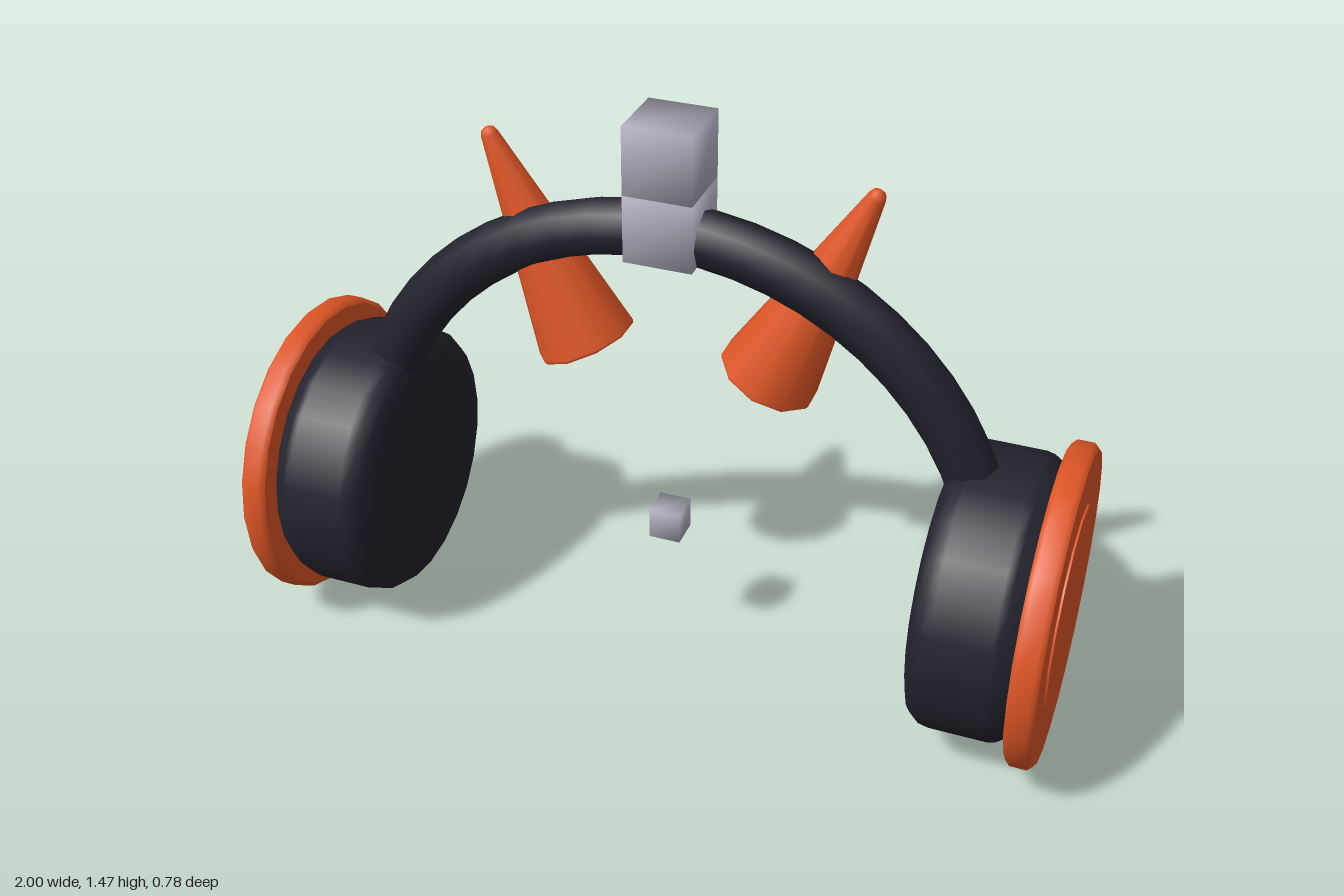
import * as THREE from 'three';
import { mergeVertices } from 'three/addons/utils/BufferGeometryUtils.js';

const orange = new THREE.MeshStandardMaterial({ color: 0xdd5525 });
orange.name = 'orange';
const charcoal = new THREE.MeshStandardMaterial({ color: 0x22222d });
charcoal.name = 'charcoal';
const grey = new THREE.MeshStandardMaterial({ color: 0xb0b0c0 });
grey.name = 'grey';

const CUP_Y = 0.395;

function mesh(name, geometry, material, parent) {
  const m = new THREE.Mesh(geometry, material);
  m.name = name;
  parent.add(m);
  return m;
}

// Lathe around y from [radius, height] pairs; a repeated pair makes a sharp edge
function lathe(points, sides) {
  return new THREE.LatheGeometry(points.map(([r, y]) => new THREE.Vector2(r, y)), sides);
}

// Cube with shared corners, so its normals blend softly across the edges
function softCube(size) {
  const g = new THREE.BoxGeometry(size, size, size);
  g.deleteAttribute('normal');
  g.deleteAttribute('uv');
  const merged = mergeVertices(g);
  merged.computeVertexNormals();
  return merged;
}

export function createModel() {
  const model = new THREE.Group();
  model.name = 'headphones';

  // Headband: half ring whose ends sink into the cups
  const band = mesh('headband', new THREE.TorusGeometry(0.8, 0.07, 8, 28, Math.PI), charcoal, model);
  band.position.y = 0.4;

  // Profiles run from the inner side (low) to the outer side (high)
  const cushion = lathe([
    [0, 0.68], [0.29, 0.68], [0.29, 0.68], [0.325, 0.69], [0.345, 0.715], [0.35, 0.74],
    [0.35, 0.88], [0.345, 0.9], [0.325, 0.93], [0.325, 0.93], [0, 0.93],
  ], 24);
  const plate = lathe([
    [0, 0.93], [0.378, 0.93], [0.378, 0.93], [0.39, 0.942],
    [0.39, 0.983], [0.378, 0.995], [0.378, 0.995], [0, 0.995],
  ], 24);
  const cap = lathe([[0.25, 0.985], [0.25, 1], [0.25, 1], [0, 1]], 16);

  // Horn with a blunt tip and a flat base
  const horn = lathe([
    [0, 0], [0.12, 0], [0.12, 0], [0.124, 0.008], [0.022, 0.555], [0.016, 0.569], [0, 0.576],
  ], 10);

  for (const [side, s] of [['left', 1], ['right', -1]]) {
    const cup = new THREE.Group();
    cup.name = side + 'EarCup';
    cup.position.y = CUP_Y;
    cup.rotation.z = -s * Math.PI / 2;
    mesh(side + 'Cushion', cushion, charcoal, cup);
    mesh(side + 'OuterPlate', plate, orange, cup);
    mesh(side + 'CentreCap', cap, orange, cup);
    model.add(cup);

    const h = mesh(side + 'Horn', horn, orange, model);
    h.position.set(s * 0.23, 0.84, -0.043);
    h.rotation.z = -s * 0.432;
  }

  // Two cubes stacked on the crown and a small one between the cups
  for (const [name, size, y] of [
    ['lowerCrownCube', 0.166, 1.228], ['upperCrownCube', 0.166, 1.394], ['centreCube', 0.08, 0.395],
  ]) {
    mesh(name, softCube(size), grey, model).position.y = y;
  }

  return model;
}
